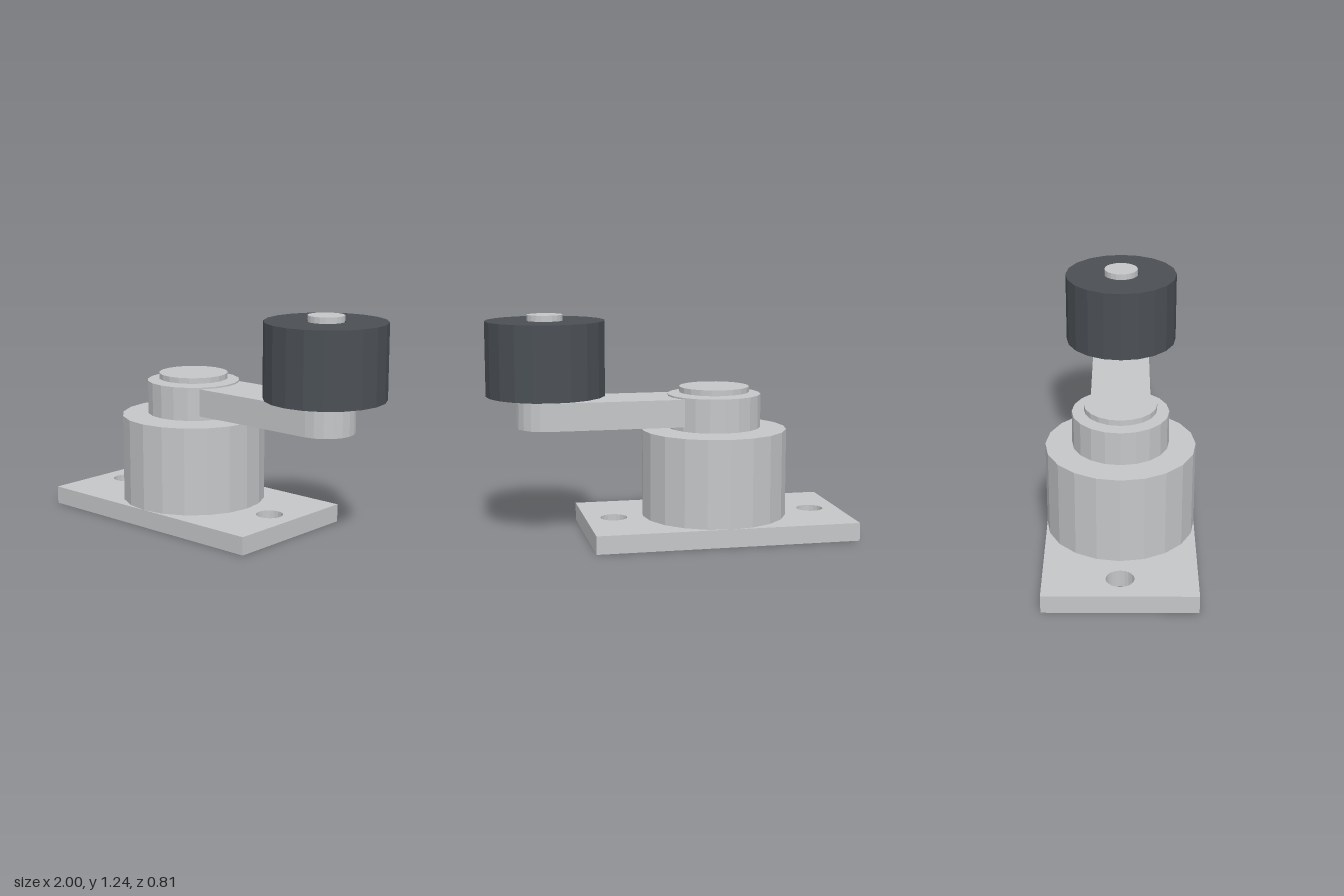
import * as THREE from 'three';

const SIDES = 20;
const BASE_X = -0.27; // pivot axis
const ROLLER_X = 0.67; // roller axis

export function createModel() {
  const model = new THREE.Group();
  model.name = 'swingArmRoller';

  const steel = new THREE.MeshStandardMaterial({ color: 0xc4c6c8, flatShading: true });
  steel.name = 'steel';
  const rubber = new THREE.MeshStandardMaterial({ color: 0x4b5055, flatShading: true });
  rubber.name = 'dark rubber';

  function add(name, geometry, material) {
    const mesh = new THREE.Mesh(geometry, material);
    mesh.name = name;
    model.add(mesh);
    return mesh;
  }

  // Upright cylinder between two heights
  function disc(name, x, radius, y0, y1, material = steel) {
    const geometry = new THREE.CylinderGeometry(radius, radius, y1 - y0, SIDES);
    add(name, geometry, material).position.set(x, (y0 + y1) / 2, 0);
  }

  // Flat outline raised between two heights
  function slab(name, shape, y0, y1, material, curveSegments = SIDES / 2) {
    const geometry = new THREE.ExtrudeGeometry(shape, { depth: y1 - y0, bevelEnabled: false, curveSegments });
    geometry.rotateX(-Math.PI / 2);
    add(name, geometry, material).position.y = y0;
  }

  const circleHole = (x, r) => new THREE.Path().absarc(x, 0, r, 0, Math.PI * 2, true);

  // Mounting plate with two bolt holes
  const plate = new THREE.Shape();
  plate.moveTo(-1, -0.405).lineTo(0.46, -0.405).lineTo(0.46, 0.405).lineTo(-1, 0.405).closePath();
  for (const side of [-1, 1]) plate.holes.push(circleHole(BASE_X + side * 0.57, 0.075));
  slab('mountingPlate', plate, 0, 0.1, steel);

  // Base housing, pivot shaft, hub and cap
  disc('baseHousing', BASE_X, 0.405, 0.1, 0.588);
  disc('pivotShaft', BASE_X, 0.13, 0.588, 0.797);
  disc('armHub', BASE_X, 0.26, 0.598, 0.784);
  disc('pivotCap', BASE_X, 0.195, 0.794, 0.825);

  // Arm with a rounded outer end
  const arm = new THREE.Shape();
  arm.moveTo(-0.15, -0.163);
  arm.lineTo(ROLLER_X, -0.163);
  arm.absarc(ROLLER_X, 0, 0.163, -Math.PI / 2, Math.PI / 2, false);
  arm.lineTo(-0.15, 0.163);
  arm.closePath();
  slab('swingArm', arm, 0.623, 0.775, steel, SIDES / 4);

  // Roller with a bore, and the pin through it
  const roller = new THREE.Shape().absarc(ROLLER_X, 0, 0.325, 0, Math.PI * 2, false);
  roller.holes.push(circleHole(ROLLER_X, 0.102));
  slab('roller', roller, 0.8, 1.206, rubber);
  disc('rollerPin', ROLLER_X, 0.097, 0.775, 1.238);

  return model;
}
